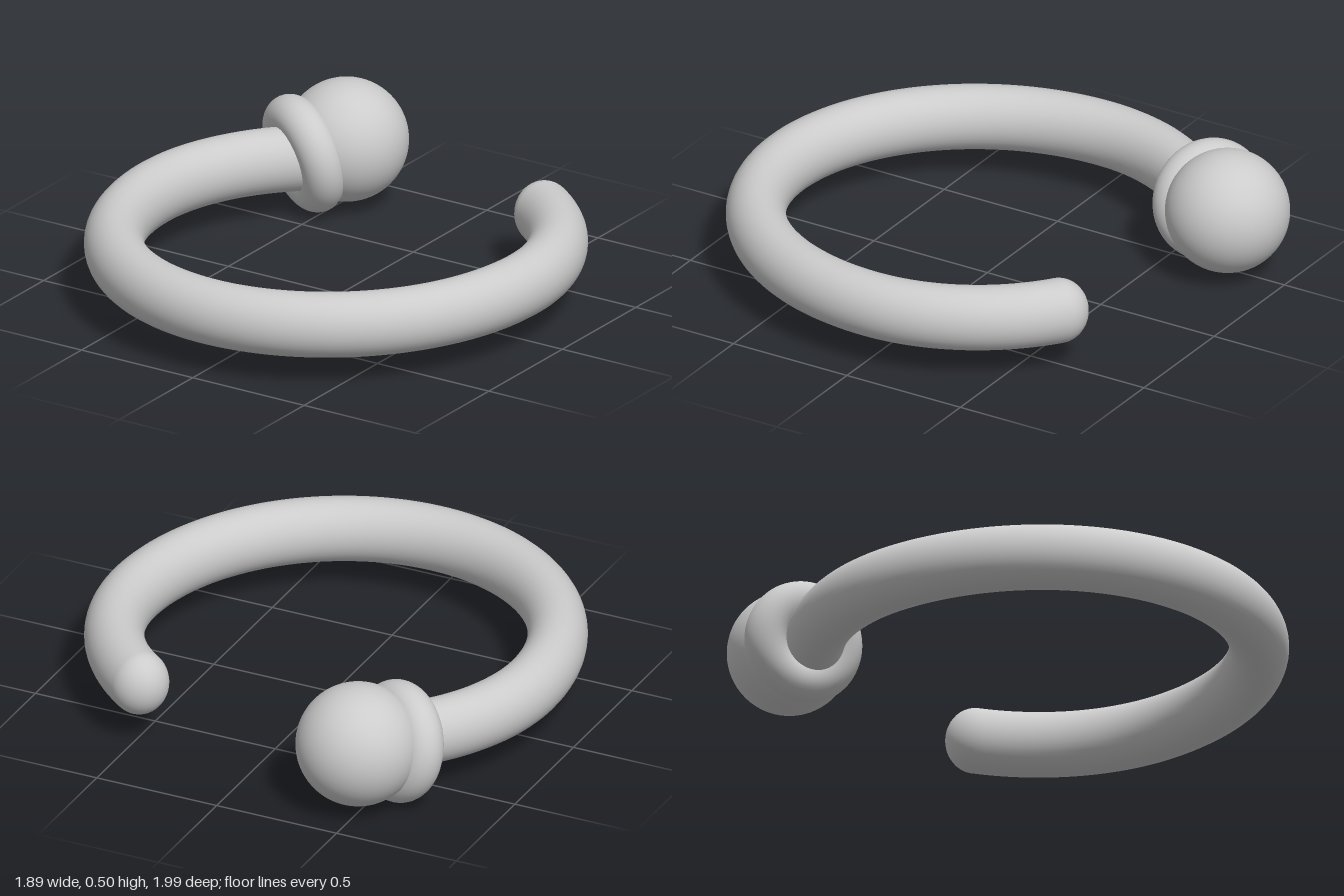
import * as THREE from 'three';

const TUBE = 0.113;

// Open, slightly egg-shaped ring lying flat: longer at the front than at the back
class RingCurve extends THREE.Curve {
  getPoint(t, target = new THREE.Vector3()) {
    const a = THREE.MathUtils.lerp(-0.917, Math.PI + 0.805, t);
    const s = Math.sin(a);
    return target.set(0.83 * Math.cos(a), 0, (s > 0 ? 0.882 : 0.79) * s);
  }
}

export function createModel() {
  const model = new THREE.Group();
  const material = new THREE.MeshStandardMaterial({ color: 0xcccccc });
  const add = (name, geometry, parent = model) => {
    const mesh = new THREE.Mesh(geometry, material);
    mesh.name = name;
    parent.add(mesh);
    return mesh;
  };

  // Band, a little taller than wide, with rounded ends
  const band = new THREE.Group();
  band.name = 'band';
  band.position.y = 0.231;
  band.scale.y = 1.11;
  model.add(band);
  const curve = new RingCurve();
  add('ring', new THREE.TubeGeometry(curve, 160, TUBE, 40, false), band);
  ['tip', 'collarEnd'].forEach((name, i) => {
    add(name, new THREE.SphereGeometry(TUBE, 40, 24), band).position.copy(curve.getPoint(i));
  });

  // Collar, tilted to face the ball
  const collar = add('collar', new THREE.TorusGeometry(0.152, 0.081, 32, 72));
  collar.position.set(-0.575, 0.233, -0.625);
  collar.quaternion.setFromUnitVectors(
    new THREE.Vector3(0, 0, 1),
    new THREE.Vector3(0.5, 0.22, -0.87).normalize()
  );

  // Ball at the end
  add('ball', new THREE.SphereGeometry(0.235, 64, 40)).position.set(-0.475, 0.265, -0.765);

  return model;
}
